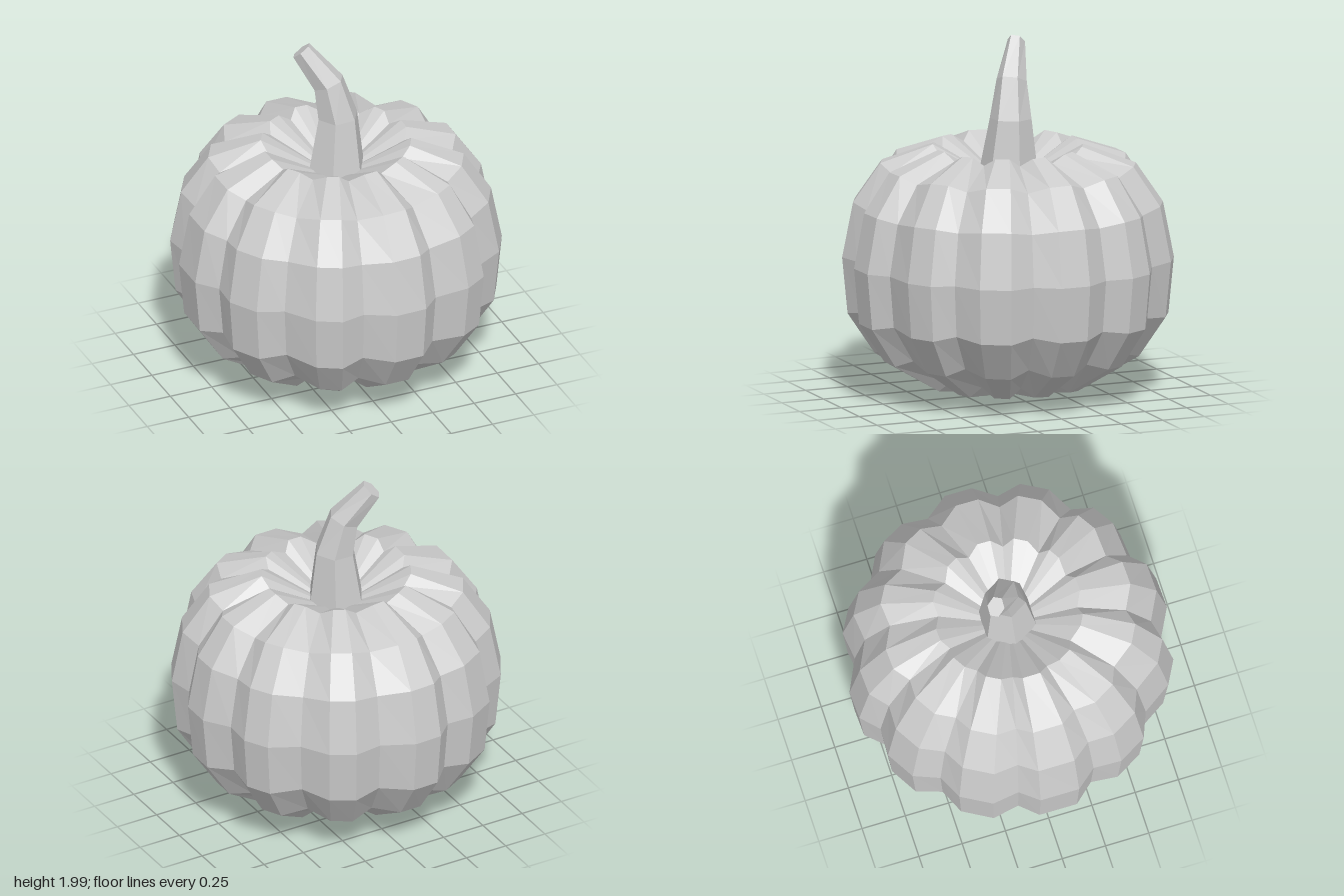
import * as THREE from 'three';

const material = new THREE.MeshStandardMaterial({ color: 0xcccccc, flatShading: true, side: THREE.DoubleSide });

// Two ridge angles (degrees) for each of the twelve ribs; grooves are evenly spaced.
const RIDGES = [
  [22, 33], [51, 60.5], [81, 92], [111.5, 121], [142.5, 154], [172, 186],
  [202.5, 214.5], [232.5, 244], [261, 271], [293, 302.5], [324.5, 334], [353.5, 364],
];

// Ribbed body: a lathe whose grooves are shrunk toward the body's centre.
function makeBody() {
  const midY = 0.78, groove = 0.925;
  const profile = [
    [0, 0.01], [0.45, 0.07], [0.735, 0.24], [0.885, 0.465], [0.915, 0.78],
    [0.855, 1.09], [0.705, 1.31], [0.415, 1.415], [0, 1.18],
  ].map(([r, y]) => new THREE.Vector2(r, y));

  const columns = RIDGES.flatMap(([a, b], k) => [
    { angle: 13.5 + 30 * k, scale: groove },
    { angle: a, scale: 1 },
    { angle: b, scale: 0.995 },
  ]);
  const count = columns.length;

  const geometry = new THREE.LatheGeometry(profile, count);
  const pos = geometry.attributes.position;
  for (let i = 0; i <= count; i++) {
    const { angle, scale } = columns[(count - i) % count];
    const a = THREE.MathUtils.degToRad(angle);
    profile.forEach((p, j) => {
      const r = p.x * scale;
      const y = p.x === 0 ? p.y : midY + (p.y - midY) * scale;
      pos.setXYZ(i * profile.length + j, r * Math.cos(a), y, r * Math.sin(a));
    });
  }
  geometry.computeVertexNormals();
  const mesh = new THREE.Mesh(geometry, material);
  mesh.name = 'body';
  return mesh;
}

// Bent six-sided stem: a cylinder whose rings are moved, shrunk and tilted.
function makeStem() {
  const rings = [
    { c: [0, 1.2, 0], r: 0.172, tilt: 0 },
    { c: [0.015, 1.56, -0.01], r: 0.116, tilt: 0.04 },
    { c: [-0.03, 1.765, -0.035], r: 0.084, tilt: 0.45 },
    { c: [-0.157, 1.957, -0.118], r: 0.048, tilt: 0.9 },
  ];
  const geometry = new THREE.CylinderGeometry(1, 1, 1, 6, rings.length - 1);
  geometry.rotateY(Math.PI / 6);
  const pos = geometry.attributes.position;
  for (let i = 0; i < pos.count; i++) {
    const { c, r, tilt } = rings[Math.round((pos.getY(i) + 0.5) * (rings.length - 1))];
    const dx = pos.getX(i) * r, dz = pos.getZ(i) * r;
    pos.setXYZ(i, c[0] + dx, c[1] + tilt * (0.8 * dx + 0.6 * dz), c[2] + dz);
  }
  geometry.computeVertexNormals();
  const mesh = new THREE.Mesh(geometry, material);
  mesh.name = 'stem';
  return mesh;
}

export function createModel() {
  const group = new THREE.Group();
  group.name = 'pumpkin';
  group.add(makeBody(), makeStem());
  return group;
}
